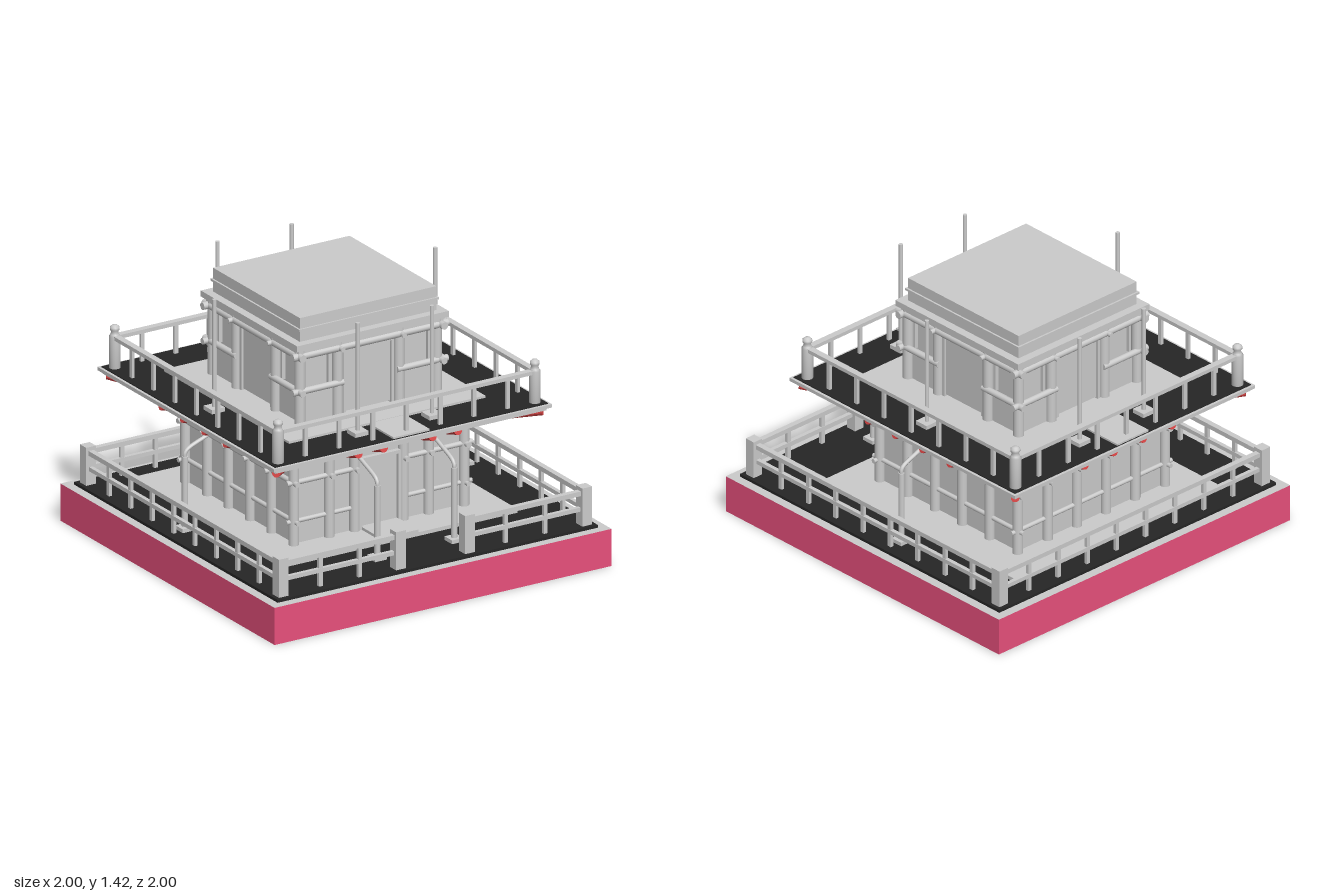
import * as THREE from 'three';

const mat = (color, flat = false) => new THREE.MeshStandardMaterial({ color, flatShading: flat });
const grey = mat(0xcccccc);
const dark = mat(0x262626);
const red = mat(0xd84444, true);
const pink = mat(0xe8507c);

function add(parent, name, geo, material, x = 0, y = 0, z = 0) {
  const m = new THREE.Mesh(geo, material);
  m.name = name;
  m.position.set(x, y, z);
  parent.add(m);
  return m;
}

// box given by its centre in plan and its bottom and top heights
function box(parent, name, w, d, y0, y1, x = 0, z = 0, material = grey) {
  return add(parent, name, new THREE.BoxGeometry(w, y1 - y0, d), material, x, (y0 + y1) / 2, z);
}

function post(parent, name, r, y0, y1, x, z, material = grey) {
  return add(parent, name, new THREE.CylinderGeometry(r, r, y1 - y0, 12), material, x, (y0 + y1) / 2, z);
}

// round bar between two points
function bar(parent, name, a, b, r, material = grey) {
  const p = new THREE.Vector3(...a), q = new THREE.Vector3(...b);
  const m = add(parent, name, new THREE.CylinderGeometry(r, r, p.distanceTo(q), 12), material);
  m.position.copy(p).add(q).multiplyScalar(0.5);
  m.quaternion.setFromUnitVectors(new THREE.Vector3(0, 1, 0), q.sub(p).normalize());
  return m;
}

// calls build for each side, with +z of the side group facing outwards
function fourSides(parent, name, build) {
  for (let i = 0; i < 4; i++) {
    const g = new THREE.Group();
    g.name = name;
    g.rotation.y = i * Math.PI / 2;
    parent.add(g);
    build(g, i);
  }
}

function group(parent, name, z = 0) {
  const g = new THREE.Group();
  g.name = name;
  g.position.z = z;
  parent.add(g);
  return g;
}

function buildBase(root) {
  const base = group(root, 'base');
  add(base, 'plinth', new THREE.BoxGeometry(2, 0.2, 2), [pink, pink, grey, grey, pink, pink], 0, 0.1, 0);
  box(base, 'groundFloor', 1.9, 1.9, 0.2, 0.215, 0, 0, dark);
  box(base, 'housePad', 1.4, 1.4, 0.215, 0.235, 0, -0.105);

  // ground railing with a gap at the front for the entrance
  fourSides(base, 'groundRailing', (g, i) => {
    box(g, 'cornerPost', 0.058, 0.058, 0.215, 0.42, 0.9, 0.9);
    const spans = i === 0 ? [[-0.9, -0.2], [0.2, 0.9]] : [[-0.9, 0.9]];
    for (const [a, b] of spans) {
      const mid = (a + b) / 2;
      box(g, 'topRail', b - a, 0.03, 0.375, 0.4, mid, 0.9);
      box(g, 'middleRail', b - a, 0.022, 0.29, 0.312, mid, 0.9);
      const n = Math.round((b - a) / 0.2);
      for (let k = 1; k < n; k++)
        box(g, 'baluster', 0.022, 0.018, 0.215, 0.38, a + (b - a) * k / n, 0.9);
    }
    if (i === 0) for (const s of [-1, 1]) box(g, 'gatePost', 0.058, 0.058, 0.215, 0.42, s * 0.205, 0.9);
  });
}

function buildLowerHouse(tower) {
  const house = group(tower, 'lowerHouse');
  box(house, 'lowerWalls', 0.99, 0.99, 0.235, 0.72);
  fourSides(house, 'lowerFacade', (g, i) => {
    const columns = i === 0 ? [-0.295, -0.145, 0.145, 0.295, 0.505] : [-0.3, -0.1, 0.1, 0.3, 0.505];
    for (const x of columns) {
      post(g, 'lowerColumn', 0.027, 0.235, 0.72, x, 0.505);
      // bracket rising to the edge of the platform
      if (x < 0.5) bar(g, 'bracket', [x, 0.69, 0.505], [x, 0.772, 0.78], 0.024, red);
      bar(g, 'pegEnd', [x, 0.57, 0.5], [x, 0.57, 0.55], 0.014);
    }
    bar(g, 'cornerBracket', [0.5, 0.695, 0.5], [0.79, 0.775, 0.79], 0.022, red);
    const beams = i === 0 ? [[-0.55, -0.145], [0.145, 0.55]] : [[-0.55, 0.55]];
    for (const [a, b] of beams) {
      bar(g, 'wallBeam', [a, 0.57, 0.51], [b, 0.57, 0.51], 0.014);
      bar(g, 'sillBeam', [a, 0.36, 0.505], [b, 0.36, 0.505], 0.012);
    }
    if (i === 0) {
      // entrance door with frame and step
      box(g, 'doorPanel', 0.22, 0.02, 0.25, 0.6, 0, 0.495);
      for (const s of [-1, 1]) box(g, 'doorJamb', 0.018, 0.04, 0.235, 0.615, s * 0.115, 0.5);
      box(g, 'doorLintel', 0.248, 0.04, 0.6, 0.618, 0, 0.5);
      box(g, 'doorStep', 0.22, 0.2, 0.235, 0.25, 0, 0.6);
    }
  });
}

function buildPlatform(tower) {
  const platform = group(tower, 'platform');
  const flare = new THREE.CylinderGeometry(0.8 * Math.SQRT2, 0.5 * Math.SQRT2, 0.09, 4).rotateY(Math.PI / 4);
  add(platform, 'flaredSoffit', flare, red, 0, 0.74, 0);
  box(platform, 'lowerEdge', 1.61, 1.61, 0.78, 0.797);
  box(platform, 'upperEdge', 1.65, 1.65, 0.797, 0.815);
  box(platform, 'platformFloor', 1.62, 1.62, 0.815, 0.82, 0, 0, dark);
  box(platform, 'upperPad', 1.165, 1.165, 0.82, 0.832);
  for (const s of [-1, 1]) box(platform, 'walkway', 0.215, 0.23, 0.82, 0.83, 0, s * 0.695);

  // balcony railing with turned corner posts
  const profile = [[0, 0], [0.03, 0], [0.03, 0.17], [0.022, 0.18], [0.018, 0.195], [0.025, 0.205],
    [0.025, 0.218], [0.015, 0.228], [0, 0.23]].map(p => new THREE.Vector2(...p));
  fourSides(platform, 'balconyRailing', g => {
    add(g, 'balconyPost', new THREE.LatheGeometry(profile, 16), grey, 0.762, 0.82, 0.762);
    box(g, 'balconyRail', 1.5, 0.035, 0.975, 0.995, 0, 0.762);
    for (let k = -3; k <= 3; k++) box(g, 'balconyBaluster', 0.022, 0.016, 0.82, 0.98, k * 0.2, 0.762);
  });

  // slender masts on square feet
  for (const [x, z] of [[0.22, 0.655], [0.22, -0.655], [0.655, 0]])
    for (const s of [-1, 1]) {
      box(platform, 'mastFoot', 0.078, 0.078, 0.82, 0.842, s * x, z);
      post(platform, 'mast', 0.011, 0.84, 1.42, s * x, z);
    }
}

function buildUpperHouse(tower) {
  const house = group(tower, 'upperHouse');
  box(house, 'upperWalls', 0.76, 0.76, 0.832, 1.24);
  fourSides(house, 'upperFacade', g => {
    post(g, 'cornerColumn', 0.028, 0.832, 1.24, 0.405, 0.405);
    bar(g, 'eavesBeam', [-0.46, 1.2, 0.42], [0.46, 1.2, 0.42], 0.02);
    for (const s of [-1, 1]) {
      post(g, 'doorColumn', 0.028, 0.832, 1.24, s * 0.182, 0.405);
      bar(g, 'windowSill', [s * 0.16, 1.01, 0.42], [s * 0.46, 1.01, 0.42], 0.017);
      bar(g, 'beamPeg', [s * 0.182, 1.2, 0.4], [s * 0.182, 1.2, 0.46], 0.013);
      box(g, 'lowerPanel', 0.2, 0.03, 0.832, 1.0, s * 0.29, 0.385);
      box(g, 'windowJamb', 0.014, 0.03, 1.01, 1.19, s * 0.225, 0.385);
      box(g, 'windowJamb', 0.014, 0.03, 1.01, 1.19, s * 0.365, 0.385);
      box(g, 'upperDoorJamb', 0.016, 0.04, 0.832, 1.18, s * 0.142, 0.39);
    }
    box(g, 'upperDoor', 0.28, 0.02, 0.84, 1.17, 0, 0.388);
    box(g, 'upperDoorLintel', 0.3, 0.04, 1.168, 1.184, 0, 0.39);
  });

  // cornice and flat roof
  box(house, 'corniceLower', 0.86, 0.86, 1.215, 1.24);
  box(house, 'cornice', 0.9, 0.9, 1.24, 1.272);
  box(house, 'roofBlock', 0.81, 0.81, 1.272, 1.4);
  box(house, 'roofBand', 0.83, 0.83, 1.33, 1.342);
}

// standing pipes that bend in below the platform
function buildPipes(root) {
  const pipes = group(root, 'pipes');
  const place = (x, z, dx, dz) => {
    box(pipes, 'pipeFoot', 0.07, 0.07, 0.215, 0.235, x, z);
    post(pipes, 'pipeSleeve', 0.016, 0.235, 0.61, x, z);
    const at = (t, y) => new THREE.Vector3(x + dx * t, y, z + dz * t);
    const curve = new THREE.CatmullRomCurve3([at(0, 0.6), at(0, 0.625), at(0.06, 0.645), at(0.5, 0.69), at(1, 0.735)]);
    add(pipes, 'bentPipe', new THREE.TubeGeometry(curve, 20, 0.011, 10), grey);
  };
  for (const s of [-1, 1]) {
    place(s * 0.83, -0.105, -s * 0.24, 0);
    place(s * 0.228, 0.745, 0, -0.25);
  }
}

export function createModel() {
  const root = new THREE.Group();
  root.name = 'watchtower';
  buildBase(root);
  const tower = group(root, 'tower', -0.105);
  buildLowerHouse(tower);
  buildPlatform(tower);
  buildUpperHouse(tower);
  buildPipes(root);
  return root;
}
